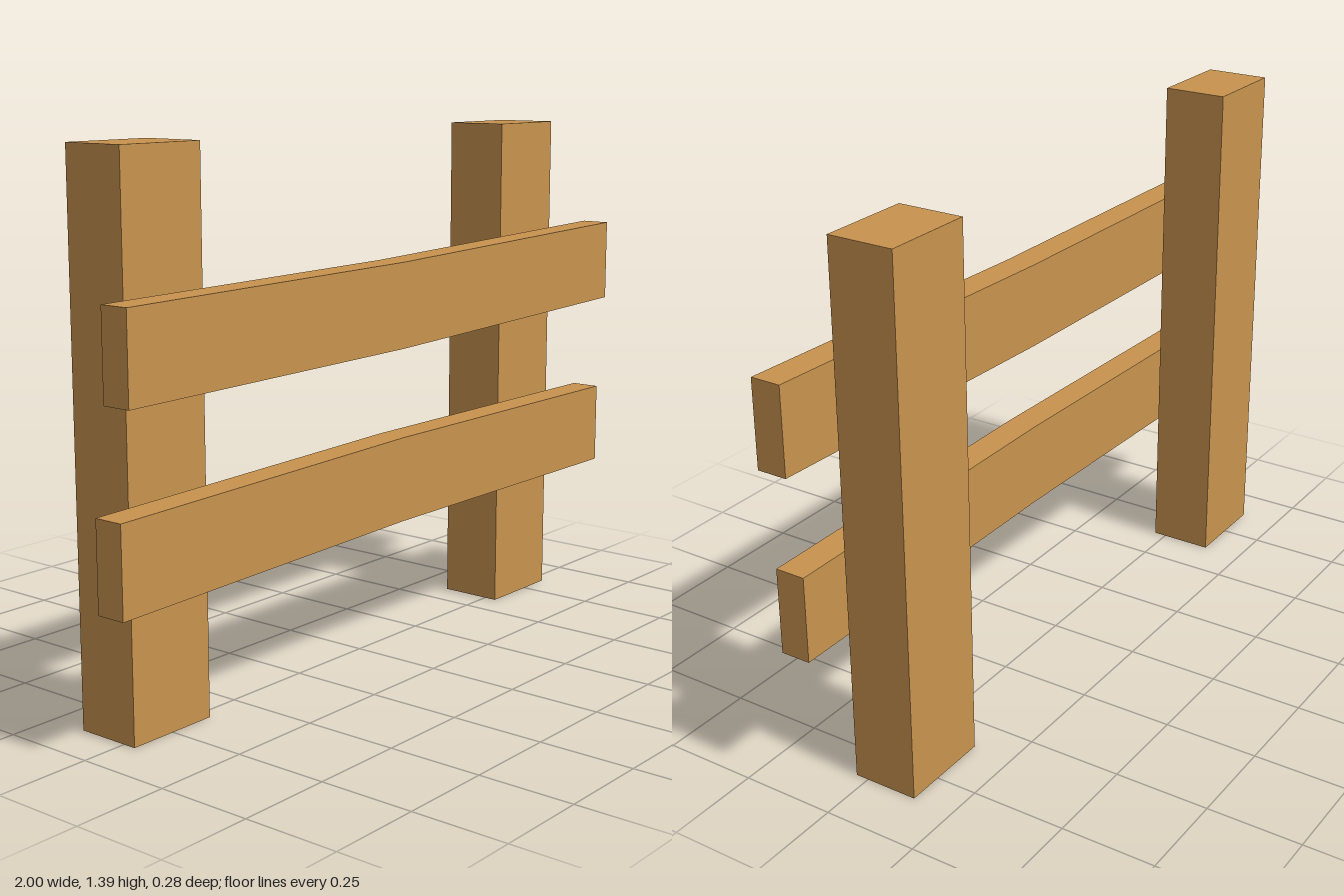
import * as THREE from 'three';

const wood = new THREE.MeshStandardMaterial({ color: 0xc8934f, flatShading: true });

// Upright post standing on the ground
function makePost(name, x) {
  const post = new THREE.Mesh(new THREE.BoxGeometry(0.253, 1.395, 0.175), wood);
  post.name = name;
  post.position.set(x, 0.6975, -0.0525);
  return post;
}

// Rail with a slight bend: lower-edge points [x, y] from right to left
function makeRail(name, points, height) {
  const outline = [
    ...points.map(([x, y]) => new THREE.Vector2(x, y)),
    ...[...points].reverse().map(([x, y]) => new THREE.Vector2(x, y + height)),
  ];
  const geometry = new THREE.ExtrudeGeometry(new THREE.Shape(outline), { depth: 0.08, bevelEnabled: false });
  const rail = new THREE.Mesh(geometry, wood);
  rail.name = name;
  rail.position.z = 0.06;
  return rail;
}

export function createModel() {
  const fence = new THREE.Group();
  fence.name = 'fence';
  fence.add(
    makePost('rightPost', -0.75),
    makePost('leftPost', 0.72),
    makeRail('upperRail', [[-0.967, 0.83], [0.01, 0.84], [1, 0.87]], 0.225),
    makeRail('lowerRail', [[-1, 0.358], [0.01, 0.38], [0.965, 0.378]], 0.225),
  );
  return fence;
}
